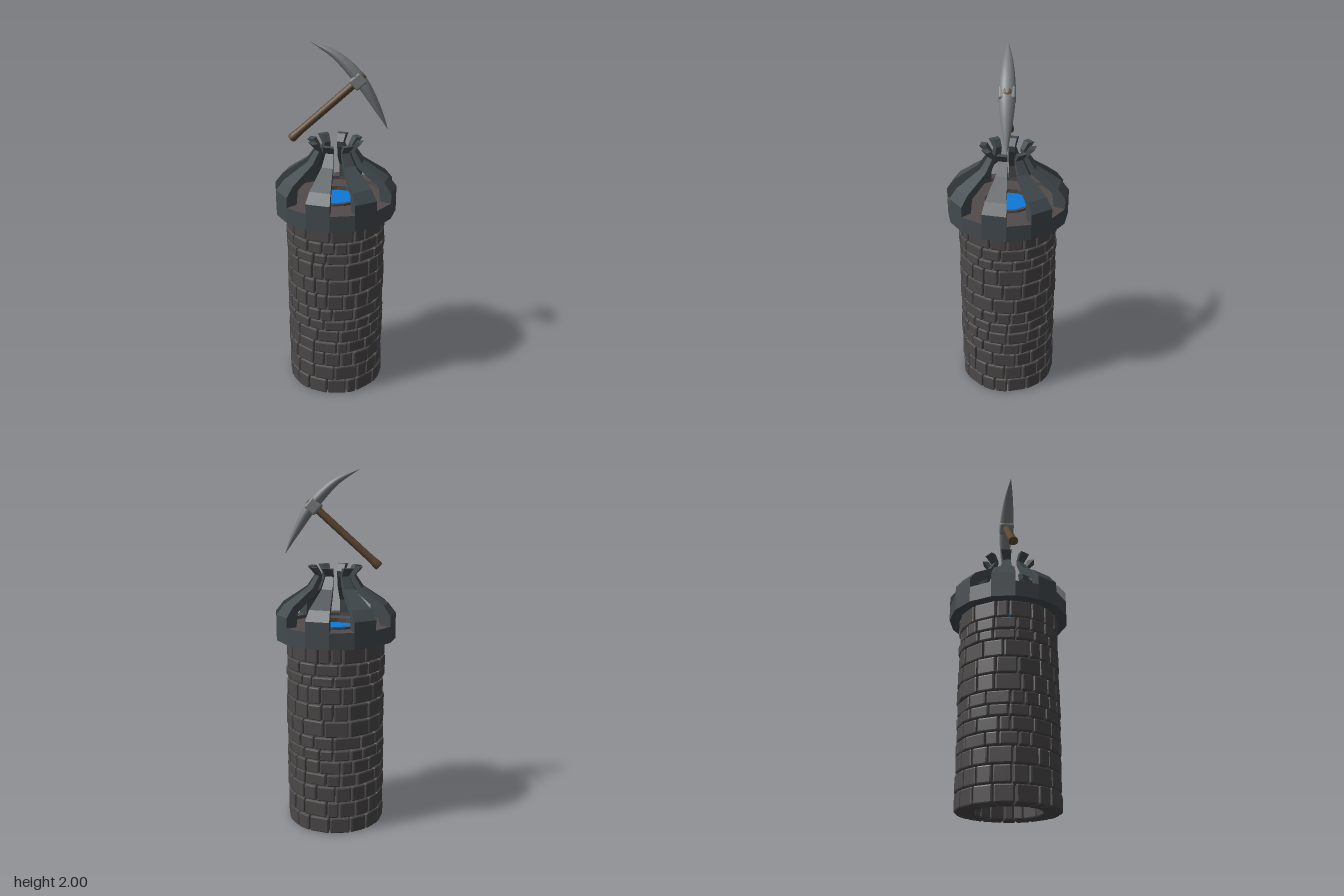
import * as THREE from 'three';
import { RoundedBoxGeometry } from 'three/addons/geometries/RoundedBoxGeometry.js';

const flat = (color) => new THREE.MeshStandardMaterial({ color, flatShading: true });
const smooth = (color) => new THREE.MeshStandardMaterial({ color });
const stone = flat(0x4b4848), slate = flat(0x434b4f), ledge = flat(0x514c4b);
const steel = smooth(0x7a7e80), wood = smooth(0x5c4732), blue = smooth(0x0f78d8);
const SECTOR = Math.PI / 8;

let seed = 7;
const rand = () => (seed = (seed * 16807) % 2147483647) / 2147483647;

function add(parent, name, geometry, material) {
  const mesh = new THREE.Mesh(geometry, material);
  mesh.name = name;
  parent.add(mesh);
  return mesh;
}

// Move every vertex by a rule
function warp(geometry, rule) {
  const p = geometry.attributes.position, v = new THREE.Vector3();
  for (let i = 0; i < p.count; i++) {
    rule(v.fromBufferAttribute(p, i));
    p.setXYZ(i, v.x, v.y, v.z);
  }
  geometry.computeVertexNormals();
  return geometry;
}

const lathe = (points) => new THREE.LatheGeometry(points.map((p) => new THREE.Vector2(...p)), 16);

// Bevelled block bent into a wedge of the round wall
function brick(angle, span, y0, y1, outer) {
  const inner = 0.178, mid = (inner + outer) / 2;
  const box = new RoundedBoxGeometry(span * mid - 0.004, y1 - y0 - 0.004, outer - inner, 1, 0.008);
  return warp(box, (v) => {
    const a = angle + v.x / mid, r = mid + v.z;
    v.set(r * Math.sin(a), v.y + (y0 + y1) / 2, r * Math.cos(a));
  });
}

function buildWall() {
  const wall = new THREE.Group();
  wall.name = 'brickWall';
  const levels = [0, 0.095, 0.19, 0.282, 0.355, 0.433, 0.497, 0.571, 0.665, 0.758, 0.856, 0.915, 0.985, 1.085];
  for (let c = 0; c < levels.length - 1; c++) {
    // Uneven brick widths that add up to a full turn
    const widths = Array.from({ length: 17 }, () => 0.6 + 0.8 * rand());
    const total = widths.reduce((a, b) => a + b, 0);
    let angle = rand() * 6;
    for (const w of widths) {
      const span = (w / total) * Math.PI * 2;
      add(wall, 'brick', brick(angle + span / 2, span, levels[c], levels[c + 1], 0.276 + 0.006 * rand()), stone);
      angle += span;
    }
  }
  return wall;
}

function buildCrown() {
  const crown = new THREE.Group();
  crown.name = 'crown';
  add(crown, 'parapetBand', lathe([[0.13, 1.08], [0.338, 1.08], [0.338, 1.17]]), slate);
  add(crown, 'innerLedge', lathe([[0.338, 1.17], [0.272, 1.17], [0.272, 1.15], [0.15, 1.15],
    [0.15, 1.162], [0.13, 1.162], [0.13, 1.08]]), ledge);

  // Water in the opening
  const waterMaterial = blue.clone();
  waterMaterial.side = THREE.DoubleSide;
  const water = add(crown, 'water', new THREE.CircleGeometry(0.132, 32), waterMaterial);
  water.rotation.x = -Math.PI / 2;
  water.position.y = 1.138;

  // Eight curved ribs: radial profile swept through one sector each
  const profile = [[0.338, 1.17], [0.338, 1.225], [0.295, 1.28], [0.16, 1.37], [0.115, 1.435], [0.155, 1.48],
    [0.12, 1.48], [0.093, 1.44], [0.1, 1.405], [0.135, 1.34], [0.262, 1.25], [0.272, 1.17]];
  const shape = new THREE.Shape(profile.map((p) => new THREE.Vector2(...p)));
  for (let i = 0; i < 8; i++) {
    const rib = new THREE.ExtrudeGeometry(shape, { depth: 1, bevelEnabled: false, steps: 1 });
    warp(rib, (v) => {
      const a = -Math.PI / 2 + (2 * i + v.z) * SECTOR;
      v.set(v.x * Math.cos(a), v.y, v.x * Math.sin(a));
    });
    add(crown, 'rib', rib, slate);
  }
  return crown;
}

function buildPickaxe() {
  const pick = new THREE.Group();
  pick.name = 'pickaxe';

  // Curved head, tapering to a point at both ends
  const curve = new THREE.CatmullRomCurve3([[-0.13, 2], [0, 1.934], [0.13, 1.806], [0.23, 1.645], [0.28, 1.546]]
    .map(([x, y]) => new THREE.Vector3(x, y, 0)));
  const head = new THREE.CylinderGeometry(1, 1, 1, 16, 28);
  warp(head, (v) => {
    const t = v.y + 0.5, p = curve.getPointAt(t), d = curve.getTangentAt(t);
    const size = 0.02 + 0.98 * (1 - Math.abs(2 * t - 1) ** 1.7);
    const n = v.x * 0.033 * size;
    v.set(p.x + d.y * n, p.y - d.x * n, v.z * 0.043 * size);
  });
  add(pick, 'pickHead', head, steel);

  // Handle and collar share one tilted axis
  const end = new THREE.Vector3(-0.243, 1.48, 0), top = new THREE.Vector3(0.15, 1.832, 0);
  const axis = new THREE.Group();
  axis.name = 'handleAxis';
  axis.position.copy(end);
  axis.quaternion.setFromUnitVectors(new THREE.Vector3(0, 1, 0), top.clone().sub(end).normalize());
  pick.add(axis);
  const length = end.distanceTo(top);
  const grip = new THREE.LatheGeometry([[0, 0], [0.021, 0], [0.025, 0.008], [0.024, 0.03], [0.021, 0.07], [0.021, length - 0.008],
    [0.018, length], [0, length]].map((p) => new THREE.Vector2(...p)), 20);
  add(axis, 'handle', grip, wood).scale.z = 1.15;
  const collar = add(axis, 'collar', new RoundedBoxGeometry(0.07, 0.072, 0.088, 2, 0.012), steel);
  collar.position.y = length - 0.042;
  return pick;
}

export function createModel() {
  const model = new THREE.Group();
  model.name = 'towerWithPickaxe';
  model.add(buildWall(), buildCrown(), buildPickaxe());
  return model;
}
